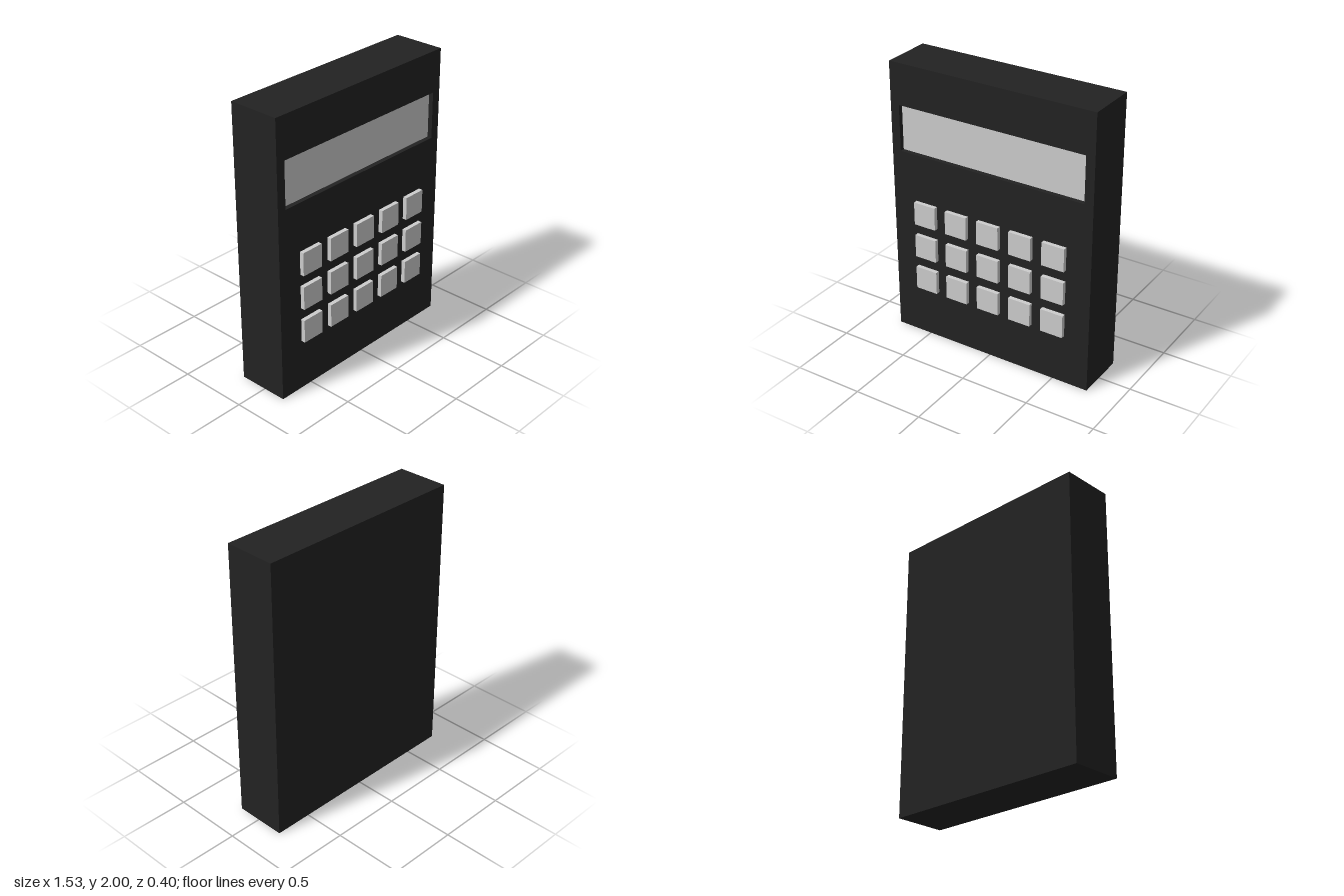
import * as THREE from 'three';

const WIDTH = 1.53, HEIGHT = 2, BACK = -0.2, FRONT = 0.17, RECESS = 0.035;

function rectangle(path, x0, y0, x1, y1) {
  path.moveTo(x0, y0);
  path.lineTo(x1, y0);
  path.lineTo(x1, y1);
  path.lineTo(x0, y1);
  path.closePath();
  return path;
}

export function createModel() {
  const model = new THREE.Group();
  model.name = 'calculator';

  const black = new THREE.MeshStandardMaterial({ color: 0x222222 });
  black.name = 'black casing';
  const grey = new THREE.MeshStandardMaterial({ color: 0xcccccc });
  grey.name = 'light grey';

  const add = (name, geometry, material, x, y, z, parent = model) => {
    const mesh = new THREE.Mesh(geometry, material);
    mesh.name = name;
    mesh.position.set(x, y, z);
    parent.add(mesh);
  };

  // Casing: a solid back with a front cover cut out around the display
  const floor = FRONT - RECESS;
  add('backCasing', new THREE.BoxGeometry(WIDTH, HEIGHT, floor - BACK), black, 0, HEIGHT / 2, (floor + BACK) / 2);
  const cover = rectangle(new THREE.Shape(), -WIDTH / 2, 0, WIDTH / 2, HEIGHT);
  cover.holes.push(rectangle(new THREE.Path(), -0.7, 1.375, 0.7, 1.705));
  add('frontCover', new THREE.ExtrudeGeometry(cover, { depth: RECESS, bevelEnabled: false }), black, 0, 0, floor);

  // Display panel on the floor of the recess
  add('display', new THREE.PlaneGeometry(1.4, 0.33), grey, 0, 1.54, floor + 0.002);

  // Keypad: three rows of five keys
  const keypad = new THREE.Group();
  keypad.name = 'keypad';
  model.add(keypad);
  const key = new THREE.BoxGeometry(0.167, 0.167, 0.03);
  for (let row = 0; row < 3; row++) {
    for (let column = 0; column < 5; column++) {
      add(`keyRow${row + 1}Column${column + 1}`, key, grey, (column - 2) * 0.25, 0.95 - row * 0.25, FRONT + 0.015, keypad);
    }
  }
  return model;
}
